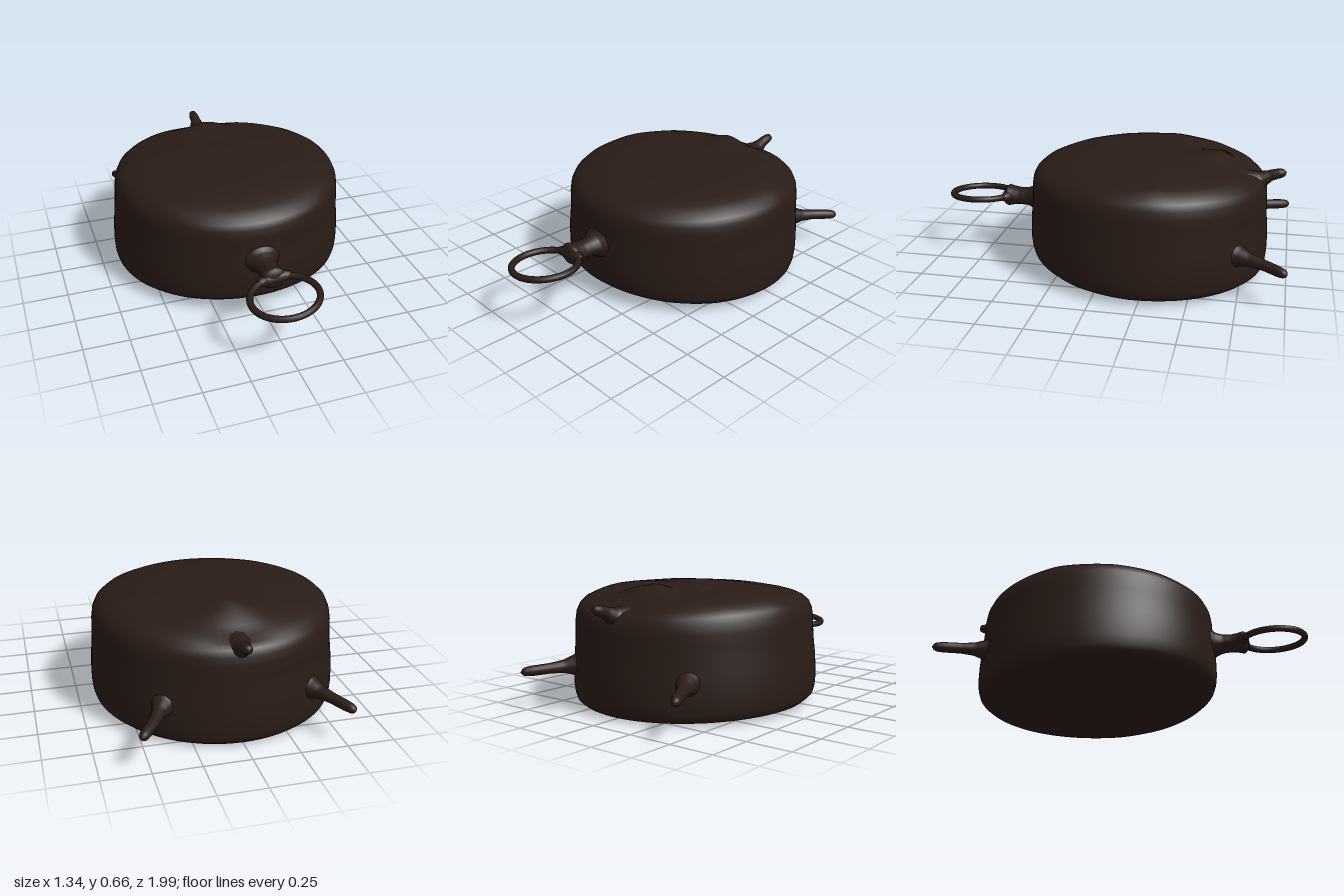
import * as THREE from 'three';
import { mergeVertices } from 'three/addons/utils/BufferGeometryUtils.js';

const V = (x, y, z) => new THREE.Vector3(x, y, z);
const iron = new THREE.MeshStandardMaterial({ color: 0x2a1c17 });

// Piecewise-linear lookup in [[x, y], ...]
function lookup(table, x) {
  if (x <= table[0][0]) return table[0][1];
  for (let i = 1; i < table.length; i++) {
    const [x0, y0] = table[i - 1], [x1, y1] = table[i];
    if (x <= x1) return y0 + (y1 - y0) * (x - x0) / (x1 - x0);
  }
  return table[table.length - 1][1];
}

// Weld seams and shade smoothly
function smooth(geo) {
  geo.deleteAttribute('uv');
  geo.deleteAttribute('normal');
  const g = mergeVertices(geo, 1e-5);
  g.computeVertexNormals();
  return g;
}

function part(name, geo) {
  const m = new THREE.Mesh(geo, iron);
  m.name = name;
  return m;
}

// Tube along a curve whose radius follows a table; squash flattens it in y
function taperedTube(points, radii, squash = 1) {
  const curve = new THREE.CatmullRomCurve3(points);
  const n = 36, sides = 16;
  const geo = new THREE.TubeGeometry(curve, n, 1, sides);
  const p = geo.attributes.position;
  for (let i = 0; i <= n; i++) {
    const c = curve.getPointAt(i / n), r = lookup(radii, i / n);
    for (let j = 0; j <= sides; j++) {
      const k = i * (sides + 1) + j;
      const v = V().fromBufferAttribute(p, k).sub(c).multiplyScalar(r);
      v.y *= squash;
      v.add(c);
      p.setXYZ(k, v.x, v.y, v.z);
    }
  }
  return smooth(geo);
}

const bump = (d, w) => Math.exp(-(d * d) / (w * w));

// Heights of the worn underside and domed top across the drum
function underside(x, z) {
  return lookup([[-0.9, 0.005], [-0.2, 0.015], [0.1, 0.03], [0.3, 0.05], [0.47, 0.075]], z) + 0.02 * x * x;
}
function topside(x, z) {
  const dome = lookup([[-0.88, 0.575], [-0.75, 0.6], [-0.55, 0.635], [-0.3, 0.66], [0, 0.65],
    [0.2, 0.63], [0.4, 0.6], [0.47, 0.585]], z);
  return dome - 0.12 * x * x + 0.045 * bump(x, 0.13) * bump(z + 0.59, 0.11)
    - 0.03 * bump(x, 0.15) * bump(z + 0.75, 0.07);
}

// Drum: lathed rounded profile, stretched between underside and top
function drum() {
  const profile = [[0, 0], [0.2, 0], [0.4, 0], [0.6, 0], [0.78, 0.002], [0.9, 0.008], [0.95, 0.02],
    [0.98, 0.05], [0.993, 0.1], [1, 0.18], [1, 0.3], [0.995, 0.42], [0.985, 0.55], [0.98, 0.68],
    [0.978, 0.78], [0.968, 0.86], [0.945, 0.915], [0.9, 0.955], [0.83, 0.98], [0.74, 0.992],
    [0.6, 1], [0.48, 1], [0.36, 1], [0.24, 1], [0.12, 1], [0, 1]];
  const geo = new THREE.LatheGeometry(profile.map(([r, h]) => new THREE.Vector2(r, h)), 96);
  const p = geo.attributes.position;
  for (let i = 0; i < p.count; i++) {
    const ux = p.getX(i), uz = p.getZ(i), h = p.getY(i);
    const dent = ux < 0 ? 1 - 0.03 * h * ux * ux : 1;
    const x = ux * 0.672 * dent, z = uz * 0.677 - 0.205;
    const lo = underside(x, z), hi = topside(x, z);
    p.setXYZ(i, x, lo + (hi - lo) * h, z);
  }
  return smooth(geo);
}

export function createModel() {
  const model = new THREE.Group();
  model.name = 'drumWithRing';
  model.add(part('drum', drum()));

  // Two low feet splayed out of the back
  const footRadii = [[0, 0.13], [0.15, 0.085], [0.28, 0.055], [0.42, 0.036], [0.6, 0.029],
    [0.85, 0.028], [0.94, 0.024], [0.98, 0.015], [1, 0]];
  for (const [name, s, tip] of [['leftFoot', 1, 0.545], ['rightFoot', -1, 0.53]]) {
    model.add(part(name, taperedTube([
      V(s * 0.34, 0.225, -0.66), V(s * 0.4, 0.222, -0.76),
      V(s * 0.46, 0.215, -0.87), V(s * tip, 0.203, -1.0)], footRadii)));
  }

  // Single upper foot at the back
  model.add(part('upperFoot', taperedTube(
    [V(0.015, 0.49, -0.76), V(0.018, 0.53, -0.83), V(0.02, 0.56, -0.89), V(0.02, 0.58, -0.965)],
    [[0, 0.11], [0.2, 0.075], [0.4, 0.045], [0.6, 0.031], [0.85, 0.027], [0.95, 0.02], [1, 0]])));

  // Flared neck with a knuckle that carries the ring
  const handle = new THREE.Group();
  handle.name = 'ringHandle';
  handle.add(part('neck', taperedTube(
    [V(0, 0.33, 0.42), V(0, 0.33, 0.5), V(0, 0.33, 0.58), V(0, 0.33, 0.665)],
    [[0, 0.13], [0.14, 0.1], [0.25, 0.075], [0.4, 0.06], [0.6, 0.057], [0.75, 0.063],
      [0.88, 0.072], [0.96, 0.055], [1, 0]], 0.87)));
  // Cross lug spreading along the ring
  handle.add(part('lug', taperedTube(
    [V(-0.1, 0.32, 0.652), V(-0.05, 0.325, 0.633), V(0.05, 0.335, 0.633), V(0.1, 0.34, 0.652)],
    [[0, 0], [0.06, 0.02], [0.3, 0.036], [0.7, 0.036], [0.94, 0.02], [1, 0]])));

  // Ring lying nearly flat, tipped up on one side
  const ring = part('ring', new THREE.TorusGeometry(0.178, 0.018, 12, 64));
  ring.rotation.set(Math.PI / 2, 0.1, 0);
  ring.position.set(-0.005, 0.33, 0.802);
  ring.scale.set(1.0, 0.97, 1);
  handle.add(ring);
  model.add(handle);

  return model;
}
